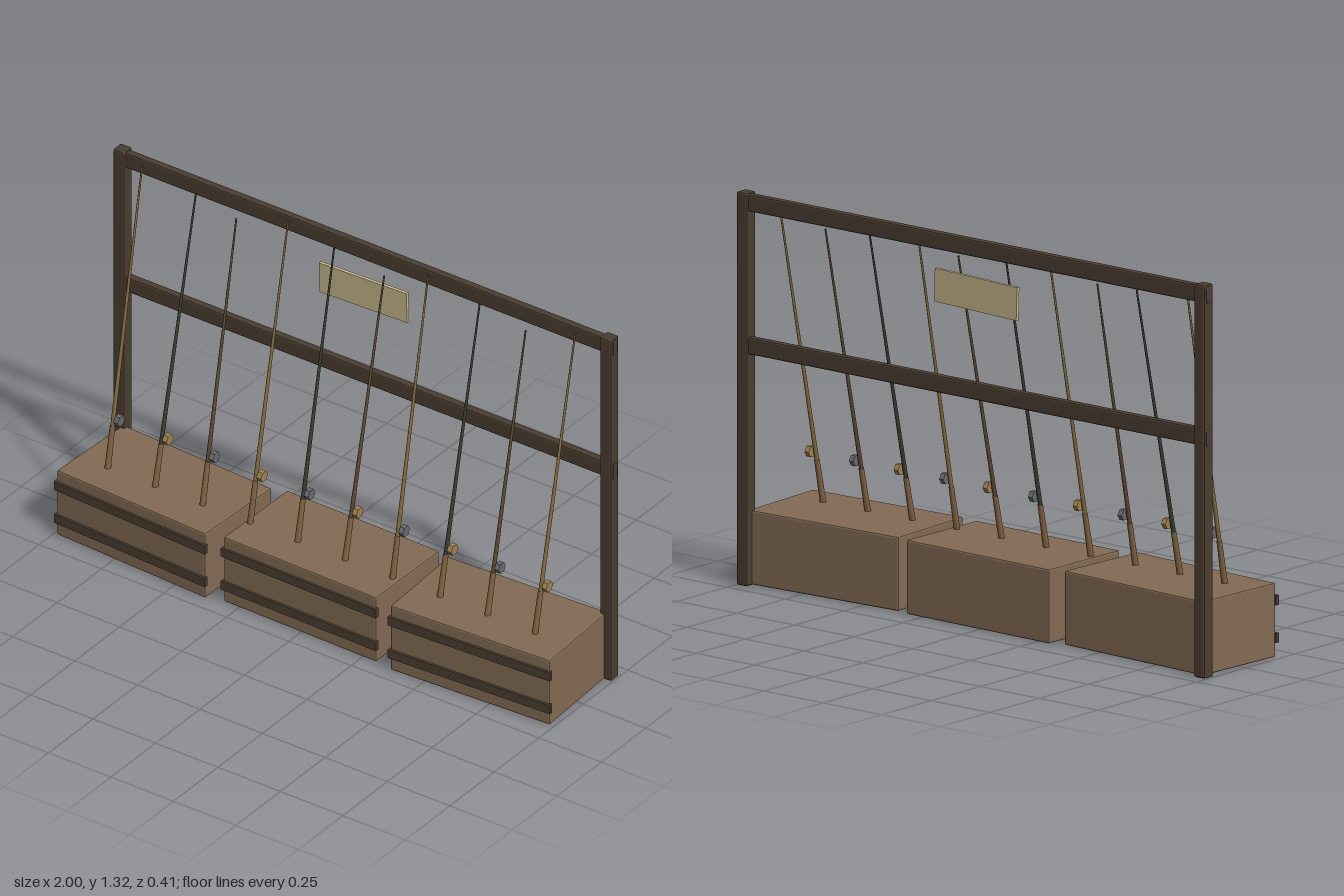
import * as THREE from 'three';
import { RoundedBoxGeometry } from 'three/addons/geometries/RoundedBoxGeometry.js';

const mat = (name, color, flatShading = true) => {
  const m = new THREE.MeshStandardMaterial({ color, flatShading });
  m.name = name;
  return m;
};

export function createModel() {
  const group = new THREE.Group();
  group.name = 'fishingRodRack';

  const darkWood = mat('dark wood', 0x4b3e32);
  const crateWood = mat('crate wood', 0x836b54);
  const paper = mat('sign board', 0xc6b78c);
  const grip = mat('grip', 0x80603f, false);
  const rodColours = [
    mat('tan rod', 0x836a3e, false),
    mat('dark green rod', 0x363d30, false),
    mat('brown rod', 0x5c4733, false),
  ];
  const reelColours = [mat('grey reel', 0x6a6a72), mat('brass reel', 0x9f8350)];

  const add = (parent, name, geometry, material, x = 0, y = 0, z = 0) => {
    const mesh = new THREE.Mesh(geometry, material);
    mesh.name = name;
    mesh.position.set(x, y, z);
    parent.add(mesh);
    return mesh;
  };
  // Box with chamfered edges
  const bevelBox = (w, h, d, r) => new RoundedBoxGeometry(w, h, d, 1, r);

  // Frame: two posts, and two rails whose ends just pass through them
  for (const s of [-1, 1]) add(group, 'post', bevelBox(0.046, 1.322, 0.046, 0.007), darkWood, s * 0.974, 0.661, -0.183);
  for (const y of [0.808, 1.288]) add(group, 'rail', bevelBox(2, 0.058, 0.028, 0.006), darkWood, 0, y, -0.184);

  // Sign hung a little crooked
  add(group, 'signBoard', new THREE.BoxGeometry(0.35, 0.112, 0.012), paper, -0.003, 1.13, -0.177).rotation.z = 0.03;

  // Three crates, each turned slightly
  [-0.05, -0.015, 0.05].forEach((turn, i) => {
    const crate = new THREE.Group();
    crate.name = 'crate';
    crate.position.set((i - 1) * 0.67, 0, 0.01);
    crate.rotation.y = turn;
    add(crate, 'crateBody', bevelBox(0.616, 0.25, 0.35, 0.006), crateWood, 0, 0.127, 0);
    for (const y of [0.067, 0.194]) add(crate, 'crateBand', new THREE.BoxGeometry(0.628, 0.033, 0.014), darkWood, 0, y, 0.176);
    group.add(crate);
  });

  // Tapered round bar between two points
  const up = new THREE.Vector3(0, 1, 0);
  const bar = (parent, name, a, b, ra, rb, material) => {
    const dir = b.clone().sub(a);
    const mesh = add(parent, name, new THREE.CylinderGeometry(rb, ra, dir.length(), 16), material);
    mesh.position.copy(a).add(b).multiplyScalar(0.5);
    mesh.quaternion.setFromUnitVectors(up, dir.normalize());
  };

  // Ten rods of three lengths, all leaning on the frame
  const tops = [1.305, 1.275, 1.24];
  const leans = [-0.016, 0.008, -0.02, -0.003, -0.008, 0.002, -0.012, 0.004, -0.002, 0.006];
  leans.forEach((lean, i) => {
    const rod = new THREE.Group();
    rod.name = 'fishingRod';
    const x = -0.86 + i * 0.19;
    const top = tops[i % 3];
    const at = (y) => new THREE.Vector3(x + lean * (y - 0.25), y, 0.06 - 0.217 * (y - 0.25) / (top - 0.25));
    bar(rod, 'grip', at(0.23), at(0.4), 0.011, 0.009, grip);
    bar(rod, 'rodShaft', at(0.39), at(top), 0.0075, 0.003, rodColours[i % 3]);
    const p = at(0.425);
    const reel = add(rod, 'reel', new THREE.CylinderGeometry(0.02, 0.02, 0.018, 6), reelColours[i % 2], p.x + 0.024, p.y, p.z + 0.002);
    reel.rotation.z = Math.PI / 2;
    group.add(rod);
  });

  return group;
}
